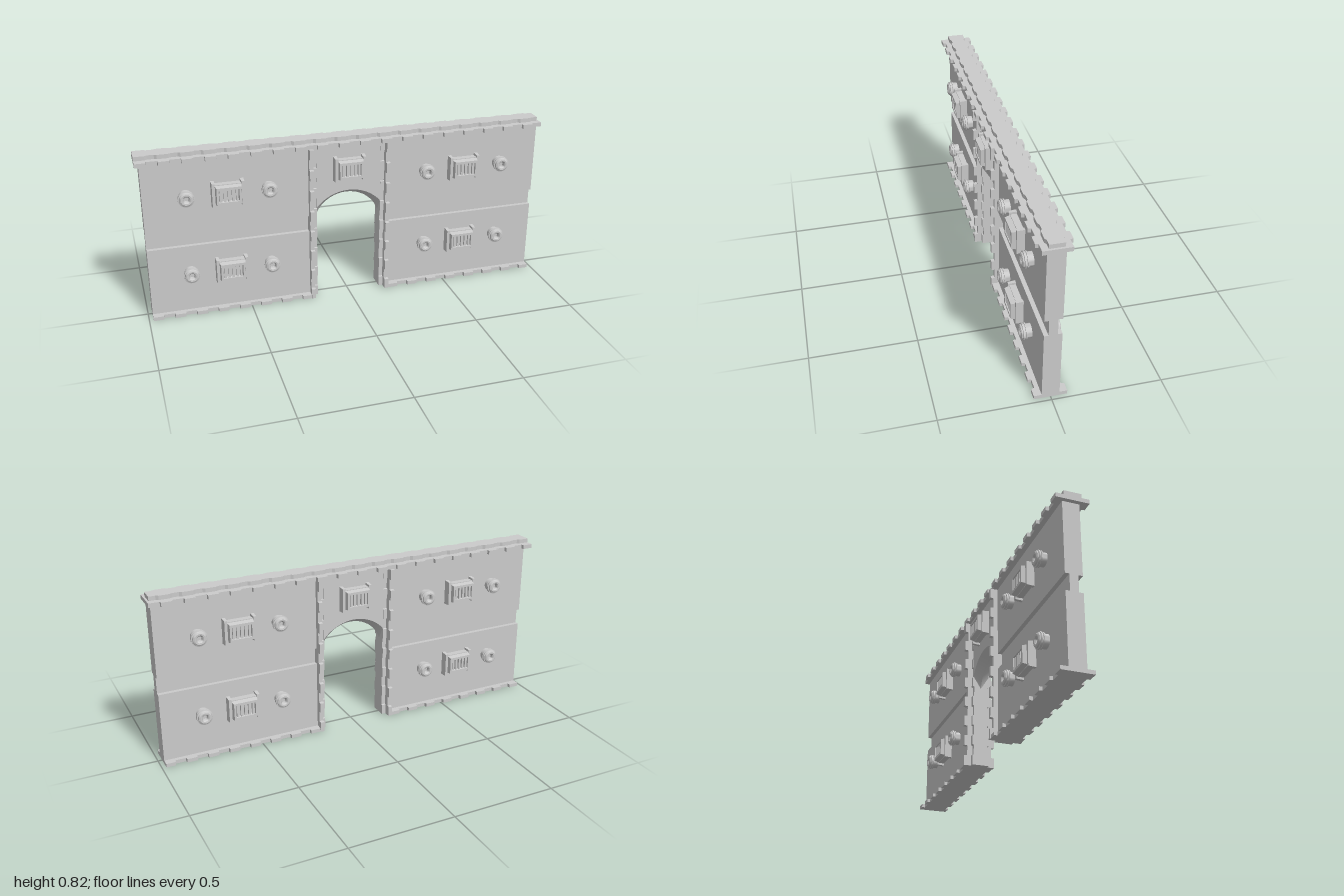
import * as THREE from 'three';
import { toCreasedNormals } from 'three/addons/utils/BufferGeometryUtils.js';

const material = new THREE.MeshStandardMaterial({ color: 0xcccccc });
const WALL = 0.04; // half thickness of the wall

function add(parent, name, geometry, x = 0, y = 0, z = 0) {
  const mesh = new THREE.Mesh(geometry, material);
  mesh.name = name;
  mesh.position.set(x, y, z);
  parent.add(mesh);
  return mesh;
}

const polygon = (pts) => new THREE.Shape(pts.map(([a, b]) => new THREE.Vector2(a, b)));
const extrude = (shape, depth, steps = 1) =>
  new THREE.ExtrudeGeometry(shape, { depth, steps, bevelEnabled: false });

// Strip with square teeth along both long edges; runs along x, extruded along z
function toothedStrip(length, inner, outer, thickness, slope = 0.002) {
  const edge = [];
  for (let u = 0; u < length - 0.01; u += 0.105) {
    const end = Math.min(u + 0.05, length);
    edge.push([u, outer], [end, outer]);
    if (end + 0.01 < length) {
      edge.push([end + slope, inner], [Math.min(u + 0.105 - slope, length), inner]);
    }
  }
  const back = edge.map(([u, w]) => [u, -w]).reverse();
  return extrude(polygon([...edge, ...back].reverse()), thickness);
}

const lying = (g) => g.rotateX(-Math.PI / 2);
const standing = (g) => g.applyMatrix4(new THREE.Matrix4().makeBasis(
  new THREE.Vector3(0, 1, 0), new THREE.Vector3(0, 0, 1), new THREE.Vector3(1, 0, 0)));

// Box whose front face is narrower than its back face
function taperedBox(w, h, w2, h2, d) {
  const g = new THREE.BoxGeometry(w, h, d).toNonIndexed();
  const p = g.attributes.position;
  for (let i = 0; i < p.count; i++) {
    if (p.getZ(i) > 0) p.setXY(i, p.getX(i) * w2 / w, p.getY(i) * h2 / h);
  }
  g.computeVertexNormals();
  return g;
}

// Wall half with a horizontal channel on both faces
function wallGeometry() {
  const right = [[WALL, 0], [WALL, 0.355], [0.02, 0.355], [0.02, 0.435], [WALL, 0.435], [WALL, 0.79]];
  const left = right.map(([z, y]) => [-z, y]).reverse();
  return extrude(polygon([...right, ...left]), 0.8).rotateY(Math.PI / 2);
}

// Panel above the doorway, its arch flaring towards both faces
function archGeometry() {
  const curve = (x, rise) => {
    const r = (0.16 * 0.16 + rise * rise) / (2 * rise);
    return Math.sqrt(r * r - x * x) - r + rise;
  };
  const inner = (x) => 0.41 + curve(x, 0.115);
  const outer = (x) => 0.475 + curve(x, 0.075);
  const pts = [[0.16, 0.79], [-0.16, 0.79]];
  for (let i = 0; i <= 24; i++) {
    const x = -0.16 * Math.cos((i / 24) * Math.PI);
    pts.push([x, inner(x)]);
  }
  const g = extrude(polygon(pts), WALL * 2, 2).translate(0, 0, -WALL);
  const p = g.attributes.position;
  for (let i = 0; i < p.count; i++) {
    if (p.getY(i) < 0.6 && Math.abs(p.getZ(i)) > 0.01) p.setY(i, outer(p.getX(i)));
  }
  return toCreasedNormals(g, 0.5);
}

// Ringed stud on a short stem
const studProfile = [
  [0, 0.069], [0.012, 0.069], [0.013, 0.084], [0.018, 0.09], [0.026, 0.091], [0.032, 0.087],
  [0.034, 0.081], [0.039, 0.08], [0.039, 0.073], [0.035, 0.072], [0.035, 0.069],
  [0.038, 0.068], [0.038, 0.063], [0.032, 0.062], [0.032, 0.035],
].reverse().map(([r, z]) => new THREE.Vector2(r, z));
const studGeometry = () =>
  toCreasedNormals(new THREE.LatheGeometry(studProfile, 24).rotateX(Math.PI / 2), 0.6);

// Vent: two end brackets, a tapered hood and upright slats
function makeVent(name) {
  const vent = new THREE.Group();
  vent.name = name;
  for (const s of [-1, 1]) {
    add(vent, 'ventBracket', taperedBox(0.018, 0.125, 0.014, 0.118, 0.042), s * 0.069, 0, 0.055);
    add(vent, 'ventHoodEdge', taperedBox(0.122, 0.022, 0.1, 0.012, 0.027), 0, s * 0.036, 0.0815);
    add(vent, 'ventCheek', taperedBox(0.02, 0.094, 0.01, 0.084, 0.027), s * 0.053, 0, 0.0815);
  }
  add(vent, 'ventBase', new THREE.BoxGeometry(0.125, 0.1, 0.036), 0, 0, 0.052);
  add(vent, 'ventRecess', new THREE.BoxGeometry(0.1, 0.06, 0.012), 0, 0, 0.074);
  for (let i = -2; i <= 2; i++) {
    add(vent, 'ventSlat', new THREE.BoxGeometry(0.011, 0.062, 0.02), i * 0.019, 0, 0.081);
  }
  return vent;
}

export function createModel() {
  const model = new THREE.Group();
  model.name = 'gateWall';

  // Walls, door posts and foot trims on both sides of the doorway
  for (const s of [-1, 1]) {
    const name = s > 0 ? 'left' : 'right';
    add(model, name + 'Wall', wallGeometry(), s > 0 ? 0.18 : -0.98);
    add(model, name + 'PostTrim', standing(toothedStrip(0.79, 0.062, 0.078, 0.02)), s > 0 ? 0.18 : -0.2);
    add(model, name + 'DoorJamb', standing(toothedStrip(0.79, 0.035, 0.042, 0.02)), s > 0 ? 0.16 : -0.18);
    add(model, name + 'FootTrim', lying(toothedStrip(0.78, 0.06, 0.075, 0.018)), s > 0 ? 0.2 : -0.98);
  }
  add(model, 'archPanel', archGeometry());

  // Stepped cap along the top
  add(model, 'capTrim', lying(toothedStrip(2, 0.064, 0.078, 0.02)), -1, 0.785);
  add(model, 'capRidge', lying(toothedStrip(2, 0.034, 0.041, 0.02, 0.012)), -1, 0.805);

  // Fittings, the same on front and back
  for (const side of ['front', 'back']) {
    const face = new THREE.Group();
    face.name = side + 'Fittings';
    if (side === 'back') face.rotation.y = Math.PI;
    for (const s of [-1, 1]) {
      for (const y of [0.217, 0.61]) {
        const vent = makeVent('vent');
        vent.position.set(s * 0.588, y, 0);
        face.add(vent);
        for (const x of [0.393, 0.783]) add(face, 'stud', studGeometry(), s * x, y);
      }
    }
    const centre = makeVent('centreVent');
    centre.position.set(0, 0.668, 0);
    face.add(centre);
    model.add(face);
  }
  return model;
}
